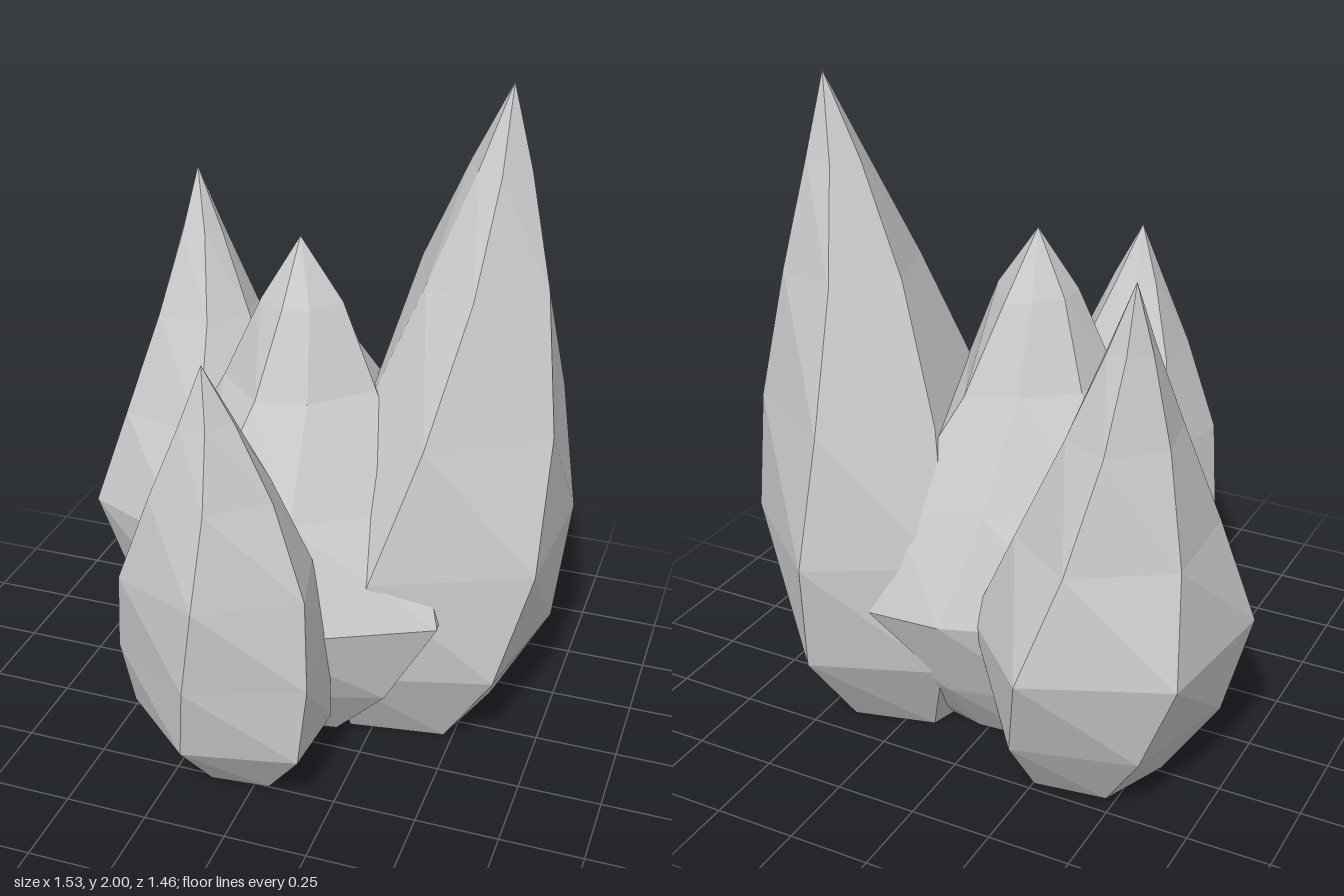
import * as THREE from 'three';

// Every spike has rings at these fractions of its height
const LEVELS = [0, 0.14, 0.32, 0.52, 0.72, 0.88];
const WIDEST = 0.32;
const TWIST = 0.83; // radians turned from foot to tip

// Each spike: tip position, ring widths relative to the widest ring,
// and the [x, z] corners of that widest ring
const SPIKES = [
  { name: 'tallSpike', tip: [0.51, 2, -0.26], widths: [0.6, 0.95, 1, 0.8, 0.5, 0.22],
    ring: [[0.75, -0.365], [0.73, 0.1], [0.28, 0.3], [0.03, 0.03], [0.04, -0.45], [0.41, -0.66]] },
  { name: 'backSpike', tip: [-0.51, 1.6, -0.4], widths: [0.5, 0.84, 1, 0.72, 0.42, 0.18],
    ring: [[-0.05, -0.47], [-0.1, -0.14], [-0.41, 0.06], [-0.78, -0.11], [-0.725, -0.555], [-0.32, -0.73]] },
  { name: 'centreSpike', tip: [-0.04, 1.56, -0.03], widths: [0.5, 0.8, 1, 0.73, 0.42, 0.22],
    ring: [[0.48, 0.25], [0, 0.49], [-0.36, 0.43], [-0.59, 0], [-0.4, -0.4], [0.02, -0.55], [0.38, -0.57]] },
  { name: 'frontSpike', tip: [-0.11, 1.4, 0.56], widths: [0.5, 0.97, 1, 0.9, 0.57, 0.25],
    ring: [[0.2, 0.6], [-0.13, 0.725], [-0.4, 0.55], [-0.3, 0.23], [-0.06, 0.2], [0.18, 0.34]] },
];

// Twisted, leaning, faceted spike with a flat foot
function spikeGeometry({ tip, widths, ring }) {
  const n = ring.length;
  const cx = ring.reduce((s, p) => s + p[0], 0) / n;
  const cz = ring.reduce((s, p) => s + p[1], 0) / n;
  const positions = [];
  const index = [];

  LEVELS.forEach((t, k) => {
    const lean = (t - WIDEST) / (1 - WIDEST);
    const turn = -TWIST * (t - WIDEST);
    const c = Math.cos(turn) * widths[k], s = Math.sin(turn) * widths[k];
    for (const [x, z] of ring) {
      const dx = x - cx, dz = z - cz;
      positions.push(
        cx + (tip[0] - cx) * lean + dx * c - dz * s,
        tip[1] * t,
        cz + (tip[2] - cz) * lean + dx * s + dz * c);
    }
  });
  const top = positions.length / 3;
  positions.push(...tip);

  const last = LEVELS.length - 1;
  for (let i = 0; i < n; i++) {
    const j = (i + 1) % n;
    for (let k = 0; k < last; k++) {
      const a = k * n + i, b = k * n + j;
      index.push(a, a + n, b + n, a, b + n, b);
    }
    index.push(last * n + i, top, last * n + j);
    if (i > 0 && i < n - 1) index.push(0, i, j); // foot
  }

  const indexed = new THREE.BufferGeometry();
  indexed.setAttribute('position', new THREE.Float32BufferAttribute(positions, 3));
  indexed.setIndex(index);
  const geometry = indexed.toNonIndexed();
  geometry.computeVertexNormals();
  return geometry;
}

export function createModel() {
  const group = new THREE.Group();
  group.name = 'spikeCluster';
  const stone = new THREE.MeshStandardMaterial({ color: 0xcccccc, flatShading: true });
  stone.name = 'paleGrey';
  for (const spike of SPIKES) {
    const mesh = new THREE.Mesh(spikeGeometry(spike), stone);
    mesh.name = spike.name;
    group.add(mesh);
  }
  return group;
}
